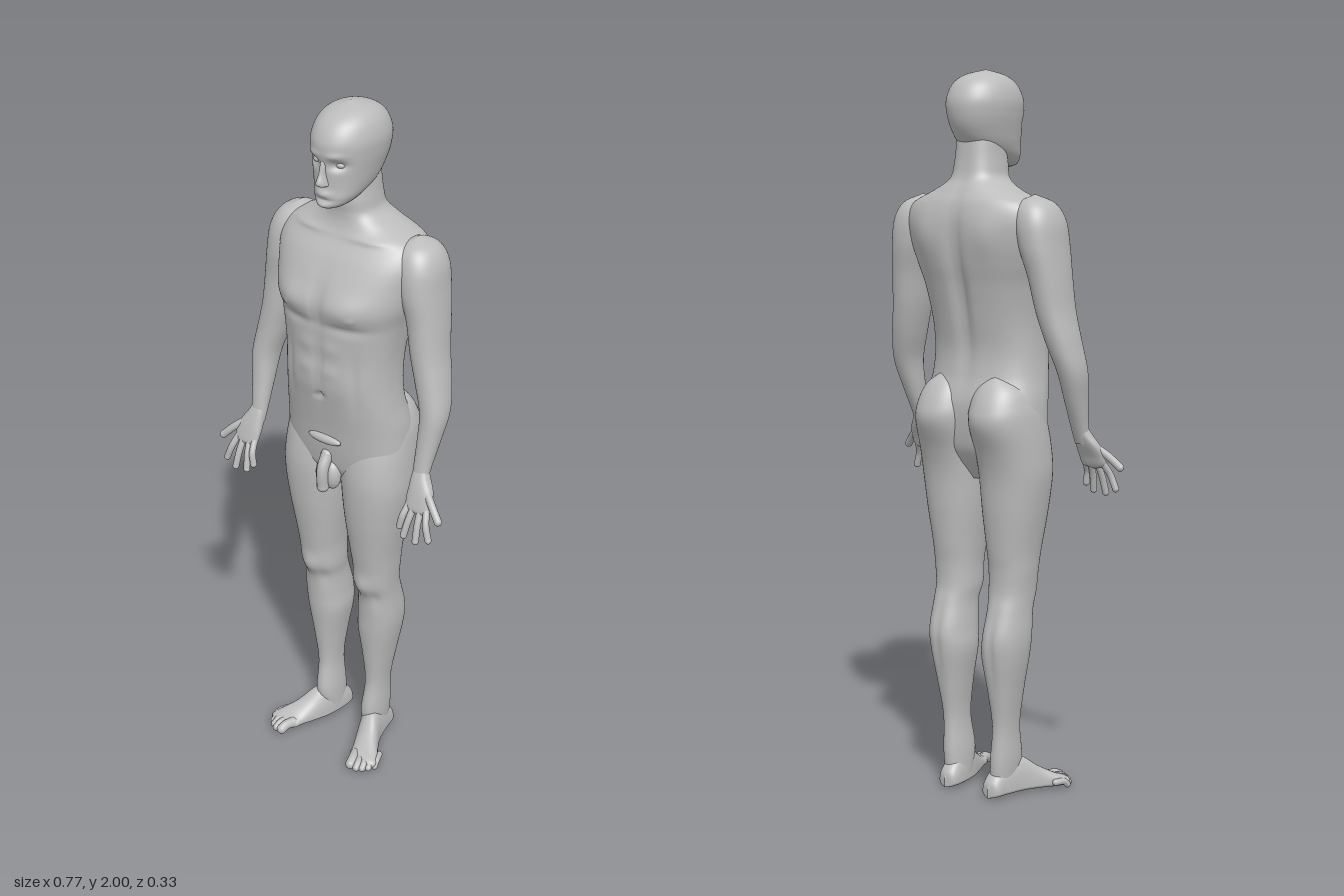
import * as THREE from 'three';
import { mergeGeometries } from 'three/addons/utils/BufferGeometryUtils.js';

const clay = new THREE.MeshStandardMaterial({ color: 0xbcbcbc });
clay.name = 'clay grey';

// Smooth skin over level sections [x, y, zCentre, halfWidth, zFront, zBack], listed upwards.
// Bumps [x, y, spreadX, spreadY, height, side] push the front (1) or back (-1), mirrored about mid.
function loft(sections, { n = 2.2, mid = 0, bumps = [], steps = 7, around = 48 } = {}) {
  const curve = new THREE.CubicInterpolant(sections.map((_, i) => i), sections.flat(), 6);
  const rows = (sections.length - 1) * steps;
  const pos = [], index = [];
  for (let j = 0; j <= rows; j++) {
    const [x, y, z, w, front, back] = curve.evaluate(j / steps);
    for (let i = 0; i < around; i++) {
      const a = (i / around) * Math.PI * 2;
      const round = (v) => Math.sign(v) * Math.abs(v) ** (2 / n);
      const c = round(Math.cos(a));
      const px = x + Math.max(w, 0) * round(Math.sin(a));
      let pz = z + (c > 0 ? c * Math.max(front - z, 0) : c * Math.max(z - back, 0));
      for (const [bx, by, sx, sy, h, side] of bumps) {
        const dx = (Math.abs(px - mid) - bx) / sx, dy = (y - by) / sy;
        pz += side * h * Math.exp(-dx * dx - dy * dy) * Math.min(1, Math.max(0, side * c * 1.6));
      }
      pos.push(px, y, pz);
      if (j < rows) {
        const k = (i + 1) % around, p = j * around, q = p + around;
        index.push(p + i, p + k, q + k, p + i, q + k, q + i);
      }
    }
  }
  const g = new THREE.BufferGeometry();
  g.setAttribute('position', new THREE.Float32BufferAttribute(pos, 3));
  g.setIndex(index);
  g.computeVertexNormals();
  return g;
}

function ball(x, y, z, rx, ry, rz) {
  return new THREE.SphereGeometry(1, 20, 14).scale(rx, ry, rz).translate(x, y, z);
}

// Round-ended bent rod for fingers and toes
function digit(points, r) {
  const pts = points.map((p) => new THREE.Vector3(...p));
  const tube = new THREE.TubeGeometry(new THREE.CatmullRomCurve3(pts), 10, r, 12);
  const ends = [pts[0], pts[pts.length - 1]].map((p) => ball(p.x, p.y, p.z, r, r, r));
  return mergeGeometries([tube, ...ends]);
}

function add(parent, name, geometry) {
  const mesh = new THREE.Mesh(geometry, clay);
  mesh.name = name;
  parent.add(mesh);
}

function addHead(body) {
  const head = new THREE.Group();
  head.name = 'head';
  add(head, 'skull', loft([
    [0, 1.738, 0.06, 0, 0.065, 0.05], [0, 1.748, 0.05, 0.034, 0.096, 0.0],
    [0, 1.77, 0.03, 0.056, 0.1, -0.05], [0, 1.80, 0.0, 0.07, 0.096, -0.1],
    [0, 1.84, -0.015, 0.08, 0.096, -0.13], [0, 1.88, -0.025, 0.088, 0.1, -0.143],
    [0, 1.92, -0.028, 0.09, 0.099, -0.143], [0, 1.96, -0.026, 0.077, 0.075, -0.123],
    [0, 1.985, -0.022, 0.05, 0.035, -0.085], [0, 2.0, -0.02, 0, -0.02, -0.02],
  ], {
    n: 2.1, steps: 10, around: 72,
    bumps: [
      [0.036, 1.862, 0.02, 0.013, -0.016, 1], // eye sockets
      [0.034, 1.888, 0.025, 0.009, 0.005, 1], // brows
      [0, 1.785, 0.02, 0.009, 0.007, 1], // lips
      [0, 1.768, 0.025, 0.006, -0.005, 1],
      [0, 1.752, 0.02, 0.01, 0.005, 1], // chin
    ],
  }));
  add(head, 'nose', loft([
    [0, 1.802, 0.085, 0, 0.09, 0.08], [0, 1.808, 0.085, 0.016, 0.113, 0.07],
    [0, 1.818, 0.085, 0.015, 0.12, 0.07], [0, 1.84, 0.085, 0.01, 0.11, 0.07],
    [0, 1.872, 0.08, 0.009, 0.1, 0.07], [0, 1.89, 0.08, 0, 0.09, 0.07],
  ], { around: 20 }));
  for (const s of [1, -1]) add(head, 'eye', ball(s * 0.035, 1.862, 0.068, 0.014, 0.009, 0.012));
  body.add(head);
}

function addTorso(body) {
  add(body, 'torso and neck', loft([
    [0, 0.89, -0.02, 0.05, 0.03, -0.06], [0, 0.95, -0.02, 0.155, 0.072, -0.1],
    [0, 1.0, -0.02, 0.185, 0.086, -0.12], [0, 1.1, -0.02, 0.184, 0.1, -0.13],
    [0, 1.18, 0, 0.172, 0.114, -0.113], [0, 1.25, 0, 0.166, 0.126, -0.108],
    [0, 1.33, 0, 0.168, 0.124, -0.122], [0, 1.42, -0.01, 0.182, 0.127, -0.142],
    [0, 1.48, -0.02, 0.2, 0.132, -0.157], [0, 1.54, -0.04, 0.214, 0.114, -0.165],
    [0, 1.6, -0.05, 0.222, 0.082, -0.166], [0, 1.645, -0.055, 0.2, 0.05, -0.157],
    [0, 1.68, -0.055, 0.125, 0.034, -0.139], [0, 1.71, -0.045, 0.078, 0.03, -0.122],
    [0, 1.75, -0.04, 0.067, 0.032, -0.113], [0, 1.82, -0.04, 0.06, 0.02, -0.105],
  ], {
    n: 2.4, steps: 9, around: 96,
    bumps: [
      [0.085, 1.485, 0.06, 0.04, 0.012, 1], // chest
      [0.085, 1.427, 0.06, 0.013, -0.007, 1],
      [0.105, 1.462, 0.007, 0.007, 0.006, 1],
      [0, 1.49, 0.012, 0.07, -0.009, 1], // breastbone
      [0, 1.3, 0.01, 0.1, -0.005, 1], // abdomen
      [0.04, 1.36, 0.025, 0.02, 0.004, 1], [0.04, 1.29, 0.025, 0.02, 0.004, 1],
      [0.105, 1.27, 0.012, 0.08, -0.006, 1],
      [0, 1.21, 0.008, 0.009, -0.012, 1], // navel
      [0.1, 1.655, 0.06, 0.008, 0.006, 1], // collarbones
      [0, 1.42, 0.022, 0.2, -0.02, -1], // spine
      [0.1, 1.56, 0.05, 0.06, 0.009, -1], // shoulder blades
    ],
  }));
  const groin = new THREE.Group();
  groin.name = 'groin';
  add(groin, 'pubic arch', ball(0, 1.065, 0.096, 0.055, 0.014, 0.014));
  add(groin, 'front organ', digit([[0, 1.01, 0.085], [0, 0.97, 0.106], [0, 0.915, 0.106]], 0.017));
  for (const s of [1, -1]) add(groin, 'sac', ball(s * 0.014, 0.945, 0.08, 0.025, 0.043, 0.024));
  body.add(groin);
}

function addArm(body, s, side) {
  const arm = new THREE.Group();
  arm.name = side + 'Arm';
  add(arm, 'arm', loft([
    [0.283, 1.0, 0.045, 0.024, 0.06, 0.03], [0.281, 1.04, 0.034, 0.024, 0.055, 0.012],
    [0.285, 1.12, 0.012, 0.03, 0.043, -0.025], [0.287, 1.2, -0.01, 0.037, 0.034, -0.058],
    [0.269, 1.28, -0.025, 0.043, 0.028, -0.083], [0.25, 1.36, -0.035, 0.046, 0.026, -0.1],
    [0.237, 1.45, -0.045, 0.05, 0.026, -0.115], [0.221, 1.53, -0.05, 0.057, 0.032, -0.13],
    [0.209, 1.6, -0.052, 0.06, 0.025, -0.13], [0.198, 1.645, -0.055, 0.045, 0, -0.108],
    [0.193, 1.668, -0.055, 0, -0.05, -0.06],
  ].map(([x, ...r]) => [s * x, ...r])));
  const hand = new THREE.Group();
  hand.name = side + 'Hand';
  add(hand, 'palm', loft([
    [0.3, 0.93, 0.078, 0, 0.08, 0.075], [0.299, 0.94, 0.075, 0.034, 0.088, 0.062],
    [0.298, 0.965, 0.067, 0.04, 0.083, 0.051], [0.294, 0.995, 0.054, 0.036, 0.074, 0.035],
    [0.285, 1.025, 0.043, 0.026, 0.062, 0.022], [0.281, 1.05, 0.035, 0.018, 0.05, 0.018],
  ].map(([x, ...r]) => [s * x, ...r]), { n: 2.6, around: 28 }));
  const fingers = [ // base x, tip x, tip y, tip z
    [0.27, 0.257, 0.885, 0.098], [0.288, 0.276, 0.866, 0.106],
    [0.309, 0.316, 0.862, 0.107], [0.327, 0.353, 0.876, 0.1],
  ];
  for (const [bx, tx, ty, tz] of fingers) {
    const middle = [s * (bx + tx) / 2, (0.95 + ty) / 2, 0.094];
    add(hand, 'finger', digit([[s * bx, 0.95, 0.074], middle, [s * tx, ty, tz]], 0.0095));
  }
  add(hand, 'thumb', digit([[s * 0.312, 0.995, 0.055], [s * 0.345, 0.968, 0.074], [s * 0.375, 0.938, 0.088]], 0.011));
  arm.add(hand);
  body.add(arm);
}

function addLeg(body, s, side) {
  const leg = new THREE.Group();
  leg.name = side + 'Leg';
  add(leg, 'leg', loft([
    [0.08, 0.03, -0.04, 0.03, 0.0, -0.09], [0.084, 0.1, -0.035, 0.033, 0.02, -0.093],
    [0.088, 0.2, -0.04, 0.03, 0.006, -0.089], [0.09, 0.3, -0.045, 0.042, 0.014, -0.104],
    [0.091, 0.4, -0.045, 0.059, 0.025, -0.122], [0.095, 0.46, -0.04, 0.06, 0.028, -0.124],
    [0.096, 0.53, -0.03, 0.057, 0.034, -0.105], [0.094, 0.58, -0.02, 0.06, 0.05, -0.092],
    [0.096, 0.64, -0.02, 0.063, 0.056, -0.091], [0.096, 0.7, -0.015, 0.069, 0.065, -0.098],
    [0.098, 0.8, -0.015, 0.084, 0.08, -0.108], [0.1, 0.9, -0.015, 0.096, 0.088, -0.116],
    [0.099, 0.97, -0.02, 0.097, 0.086, -0.133], [0.094, 1.05, -0.03, 0.096, 0.07, -0.164],
    [0.092, 1.1, -0.04, 0.089, 0.04, -0.157], [0.09, 1.15, -0.05, 0.066, 0.0, -0.13],
    [0.09, 1.19, -0.07, 0, -0.06, -0.09],
  ].map(([x, ...r]) => [s * x, ...r]), {
    mid: s * 0.094,
    bumps: [
      [0, 0.585, 0.025, 0.03, 0.008, 1], // kneecap
      [0.032, 0.54, 0.012, 0.03, -0.006, 1],
      [0, 0.43, 0.01, 0.09, -0.006, -1], // calf split
    ],
  }));
  const foot = new THREE.Group();
  foot.name = side + 'Foot';
  // Sections run heel to toe: x, z, half width, top height
  const sole = [
    [0.078, -0.112, 0, 0.03], [0.078, -0.1, 0.027, 0.055], [0.081, -0.06, 0.034, 0.09],
    [0.094, 0, 0.037, 0.105], [0.117, 0.05, 0.041, 0.07], [0.14, 0.09, 0.046, 0.045],
    [0.15, 0.12, 0.043, 0.033], [0.152, 0.138, 0, 0.022],
  ].map(([x, z, w, top]) => [s * x, z, -0.018, w, -0.003, -top]);
  add(foot, 'instep and heel', loft(sole, { n: 2.3 }).rotateX(Math.PI / 2));
  const toes = [[0.131, 0.15, 0.015], [0.152, 0.15, 0.011], [0.167, 0.141, 0.0105], [0.18, 0.128, 0.01], [0.19, 0.111, 0.0095]];
  for (const [x, z, r] of toes) {
    add(foot, 'toe', digit([[s * (x - 0.012), 0.022, z - 0.04], [s * (x - 0.003), 0.021, z - 0.015], [s * x, r, z]], r));
  }
  leg.add(foot);
  body.add(leg);
}

export function createModel() {
  const body = new THREE.Group();
  body.name = 'standing figure';
  addHead(body);
  addTorso(body);
  for (const [s, side] of [[1, 'left'], [-1, 'right']]) {
    addArm(body, s, side);
    addLeg(body, s, side);
  }
  return body;
}
